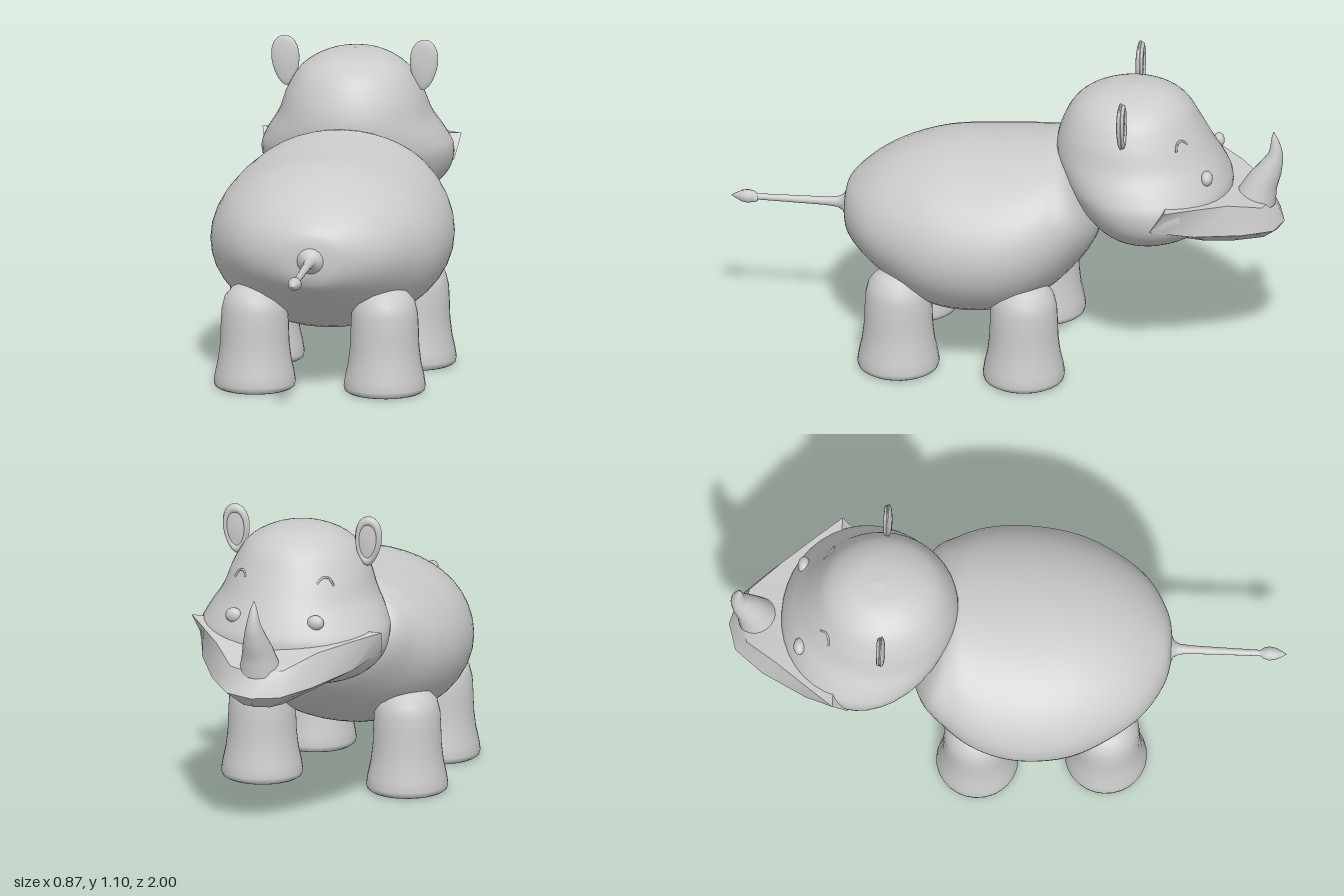
import * as THREE from 'three';
import { toCreasedNormals } from 'three/addons/utils/BufferGeometryUtils.js';

const V = (x, y, z) => new THREE.Vector3(x, y, z);

// Skin a list of closed rings (equal point counts) into one surface
function skin(rings) {
  const n = rings[0].length, pos = [], idx = [];
  rings.forEach(r => r.forEach(p => pos.push(p.x, p.y, p.z)));
  for (let i = 0; i < rings.length - 1; i++) {
    for (let j = 0; j < n; j++) {
      const a = i * n + j, b = i * n + (j + 1) % n;
      idx.push(a, a + n, b, b, a + n, b + n);
    }
  }
  const g = new THREE.BufferGeometry();
  g.setAttribute('position', new THREE.Float32BufferAttribute(pos, 3));
  g.setIndex(idx);
  g.computeVertexNormals();
  return g;
}

// Resample rings smoothly along the body
function smoothRings(rings, steps) {
  const curves = rings[0].map((_, j) => new THREE.CatmullRomCurve3(rings.map(r => r[j]), false, 'centripetal'));
  return Array.from({ length: steps + 1 }, (_, i) => curves.map(c => c.getPoint(i / steps)));
}

function ring(fn, n = 40) {
  return Array.from({ length: n }, (_, j) => {
    const a = (j / n) * Math.PI * 2;
    return fn(Math.cos(a), Math.sin(a));
  });
}

const lathe = (pts, n = 28) =>
  new THREE.LatheGeometry(pts.map(([r, y]) => new THREE.Vector2(r, y)), n);

export function createModel() {
  const root = new THREE.Group();
  const grey = new THREE.MeshStandardMaterial({ color: 0xcccccc, side: THREE.DoubleSide });
  const add = (name, geometry, parent = root) => {
    const m = new THREE.Mesh(geometry, grey);
    m.name = name;
    parent.add(m);
    return m;
  };

  // Barrel body, rump to neck: top z, top y, bottom z, bottom y, half width
  const bodyRows = [
    [0.588, 0.515, 0.588, 0.515, 0.001], [0.585, 0.57, 0.585, 0.46, 0.055],
    [0.57, 0.62, 0.565, 0.415, 0.13], [0.5, 0.685, 0.5, 0.36, 0.245],
    [0.4, 0.745, 0.4, 0.285, 0.33], [0.24, 0.795, 0.24, 0.2, 0.41],
    [0.05, 0.81, 0.05, 0.193, 0.435], [-0.1, 0.823, -0.09, 0.235, 0.41],
    [-0.18, 0.828, -0.22, 0.33, 0.355], [-0.22, 0.8, -0.34, 0.51, 0.28],
    [-0.3, 0.66, -0.3, 0.66, 0.001],
  ];
  add('body', skin(smoothRings(bodyRows.map(([zt, yt, zb, yb, w]) => ring((c, s) => {
    const t = (s + 1) / 2;
    return V(w * c, yb + (yt - yb) * t, zb + (zt - zb) * t);
  })), 50)));

  // Head, chin to crown: height, back z, front z, half width
  const headRows = [
    [0.498, -0.48, -0.48, 0.001], [0.505, -0.38, -0.6, 0.14],
    [0.55, -0.32, -0.72, 0.26], [0.62, -0.265, -0.795, 0.33],
    [0.7, -0.215, -0.81, 0.345], [0.76, -0.19, -0.788, 0.32],
    [0.83, -0.178, -0.75, 0.277], [0.92, -0.2, -0.7, 0.243],
    [1.0, -0.25, -0.65, 0.192], [1.05, -0.345, -0.575, 0.105],
    [1.066, -0.46, -0.46, 0.001],
  ];
  add('head', skin(smoothRings(headRows.map(([y, z0, z1, w]) =>
    ring((c, s) => V(w * c, y, (z0 + z1) / 2 + s * (z0 - z1) / 2))), 50)));

  // Wedge snout: half outlines mirrored across the middle, top to keel
  const halves = [
    [[0, 0.715, -0.64], [0, 0.71, -0.7], [0, 0.69, -0.8], [0, 0.66, -0.88], [0, 0.655, -0.9]],
    [[0.36, 0.73, -0.61], [0.28, 0.715, -0.71], [0.19, 0.695, -0.82], [0.1, 0.65, -0.93], [0, 0.635, -0.95]],
    [[0.342, 0.645, -0.556], [0.285, 0.61, -0.71], [0.19, 0.58, -0.87], [0.1, 0.56, -0.97], [0, 0.555, -0.998]],
    [[0.03, 0.476, -0.64], [0.05, 0.48, -0.72], [0.06, 0.493, -0.82], [0.05, 0.51, -0.93], [0, 0.52, -0.972]],
    [[0, 0.474, -0.64], [0, 0.478, -0.72], [0, 0.49, -0.82], [0, 0.505, -0.92], [0, 0.518, -0.97]],
  ];
  const snoutRings = halves.map(h => [
    ...h.map(p => V(...p)),
    ...h.slice(0, -1).reverse().map(([x, y, z]) => V(-x, y, z)),
  ]);
  add('snout', toCreasedNormals(skin(snoutRings), 0.7));

  // Horn: shrinking circles along a bent spine
  const spine = new THREE.CatmullRomCurve3([
    V(0, 0.645, -0.895), V(0, 0.7, -0.915), V(0, 0.76, -0.945), V(0, 0.82, -0.965), V(0, 0.907, -0.958),
  ]);
  const hornRings = Array.from({ length: 17 }, (_, i) => {
    const t = i / 16, p = spine.getPoint(t), d = spine.getTangent(t);
    const r = 0.072 * Math.pow(1 - t, 0.75) + 0.001;
    return ring((c, s) => V(r * c, p.y - r * s * d.z, p.z + r * s * d.y), 20);
  });
  add('horn', skin(hornRings));

  for (const s of [1, -1]) {
    const side = s > 0 ? 'left' : 'right';

    // Ear: flat pod, narrow at the root, with a raised rim facing forward
    const ear = new THREE.Group();
    ear.name = side + 'Ear';
    ear.position.set(s * 0.25, 1.015, -0.44);
    ear.rotation.z = -s * 0.06;
    root.add(ear);
    const taper = g => {
      const p = g.attributes.position;
      for (let i = 0; i < p.count; i++) p.setX(i, p.getX(i) * (1 + 2.2 * p.getY(i)));
      g.computeVertexNormals();
      return g;
    };
    add('earShell', taper(new THREE.SphereGeometry(1, 24, 16).scale(0.05, 0.092, 0.014)), ear);
    add('earRim', taper(new THREE.TorusGeometry(1, 0.2, 8, 28).scale(0.039, 0.074, 0.05)), ear).position.z = -0.007;

    // Closed eye line and nostril bump
    const lid = new THREE.CatmullRomCurve3([
      V(s * 0.135, 0.905, -0.664), V(s * 0.15, 0.924, -0.645), V(s * 0.17, 0.92, -0.634), V(s * 0.187, 0.895, -0.632),
    ]);
    add(side + 'EyeLine', new THREE.TubeGeometry(lid, 12, 0.004, 6));
    const nostril = add(side + 'Nostril', new THREE.SphereGeometry(0.027, 18, 12));
    nostril.position.set(s * 0.155, 0.782, -0.738);
    nostril.scale.set(1.15, 1, 0.8);

    // Stout legs with flared feet and domed tops
    for (const [name, x, z] of [['FrontLeg', 0.275, -0.095], ['BackLeg', 0.235, 0.363]]) {
      const leg = add(side + name, lathe([
        [0, 0.003], [0.132, 0.003], [0.143, 0.01], [0.147, 0.026], [0.142, 0.06], [0.131, 0.11],
        [0.124, 0.17], [0.122, 0.23], [0.119, 0.29], [0.108, 0.335], [0.08, 0.368], [0.04, 0.384], [0, 0.388],
      ]));
      leg.position.set(s * x, 0, z);
    }
  }

  // Tail: flared root, thin cord, tuft of two locks
  const tail = new THREE.Group();
  tail.name = 'tail';
  tail.position.set(0, 0.52, 0);
  tail.rotation.x = Math.PI / 2;
  root.add(tail);
  add('tailCord', lathe([
    [0.05, 0.565], [0.048, 0.586], [0.03, 0.594], [0.019, 0.615], [0.015, 0.66], [0.013, 0.78], [0.011, 0.91],
  ], 16), tail);
  const lock = [[0.01, 0], [0.02, 0.015], [0.025, 0.035], [0.021, 0.058], [0.01, 0.08], [0, 0.097]];
  add('tailTuft', lathe(lock, 10), tail).position.y = 0.902;
  const small = add('tailLock', lathe(lock, 10), tail);
  small.scale.setScalar(0.8);
  small.position.set(0.006, 0.902, 0.008);
  small.rotation.set(-0.2, 0, 0.2);

  return root;
}
